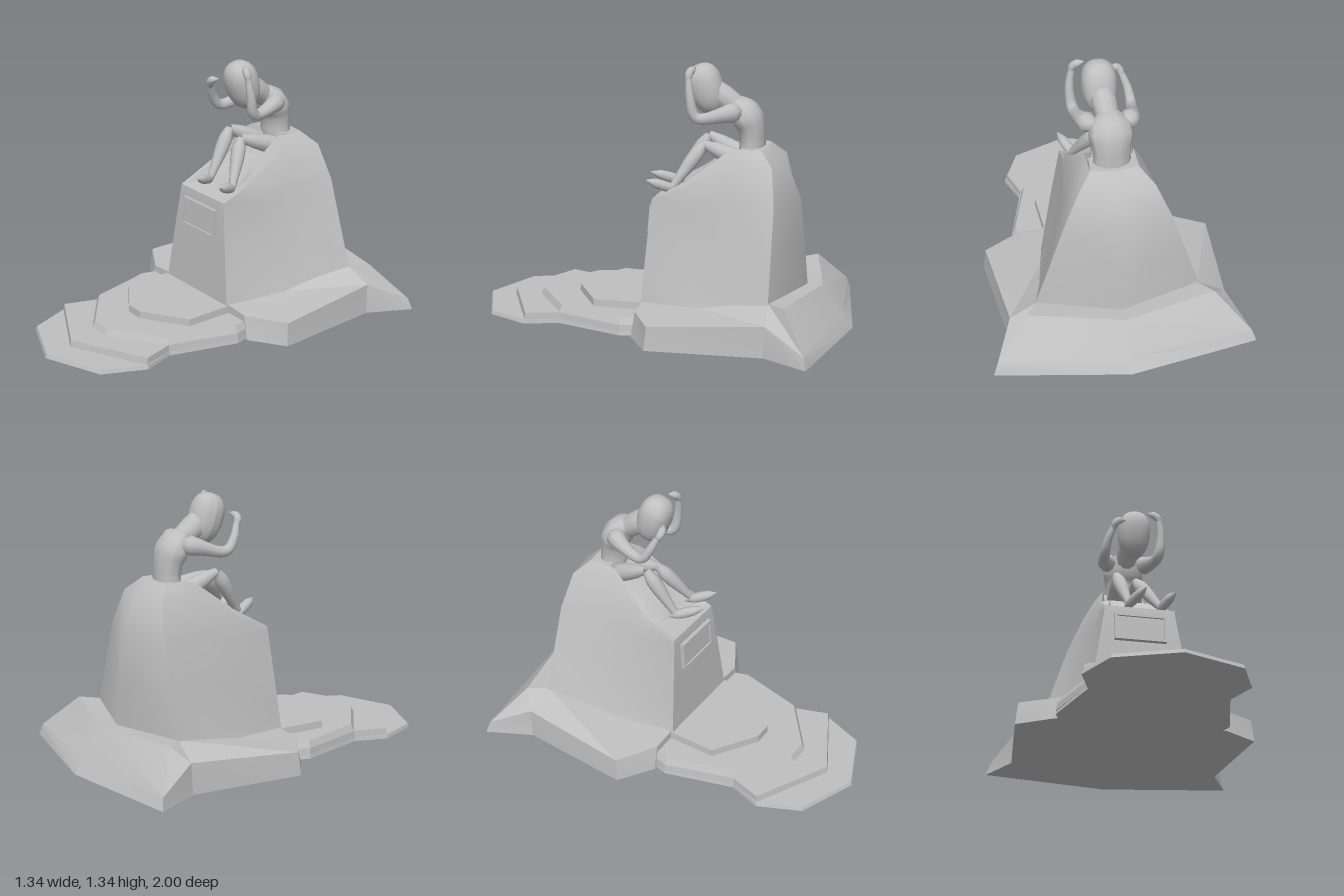
import * as THREE from 'three';
import { toCreasedNormals } from 'three/addons/utils/BufferGeometryUtils.js';

const stone = new THREE.MeshStandardMaterial({ color: 0xbfbfbf });
stone.name = 'stone grey';

function addMesh(parent, name, geometry) {
  const m = new THREE.Mesh(geometry, stone);
  m.name = name;
  parent.add(m);
  return m;
}

// Skins half-rings [x, y, z] running from the back centre round the +x side; mirrors each to a full ring
function loft(halfRings, crease) {
  const rings = halfRings.map(h => {
    const mirrored = h.slice(1).reverse().map(([x, y, z]) => [-x, y, z]);
    return [...h, ...mirrored].map(p => new THREE.Vector3(...p));
  });
  const pos = [];
  const tri = (a, b, c) => {
    if (new THREE.Triangle(a, b, c).getArea() < 1e-8) return;
    for (const v of [a, b, c]) pos.push(v.x, v.y, v.z);
  };
  for (let r = 0; r + 1 < rings.length; r++) {
    const n = rings[r].length;
    for (let i = 0; i < n; i++) {
      const j = (i + 1) % n;
      const a = rings[r][i], b = rings[r][j], c = rings[r + 1][j], d = rings[r + 1][i];
      tri(a, d, c);
      tri(a, c, b);
    }
  }
  const g = new THREE.BufferGeometry();
  g.setAttribute('position', new THREE.Float32BufferAttribute(pos, 3));
  return toCreasedNormals(g, crease);
}

// Flat slab with a slightly tapered side, from a half outline [x, z]
function slab(outline, y0, y1, taper) {
  const zc = 0.25;
  const ring = (y, s) => outline.map(([x, z]) => [x * s, y, zc + (z - zc) * s]);
  return loft([ring(y0, 0), ring(y0, 1), ring(y1, taper), ring(y1, 0)], 0.3);
}

// Tapered rounded limb through points, with radii spread evenly along it
function limb(points, radii, segments = 14) {
  const curve = new THREE.CatmullRomCurve3(points.map(p => new THREE.Vector3(...p)), false, 'centripetal');
  const sides = 10;
  const g = new THREE.TubeGeometry(curve, segments, 1, sides);
  const p = g.attributes.position, v = new THREE.Vector3();
  for (let i = 0; i < p.count; i++) {
    const u = Math.floor(i / (sides + 1)) / segments;
    const t = u * (radii.length - 1), k = Math.min(Math.floor(t), radii.length - 2);
    const r = THREE.MathUtils.lerp(radii[k], radii[k + 1], t - k);
    const c = curve.getPointAt(u);
    v.fromBufferAttribute(p, i).sub(c).multiplyScalar(r).add(c);
    p.setXYZ(i, v.x, v.y, v.z);
  }
  return toCreasedNormals(g, 1.3);
}

function createBase() {
  const base = new THREE.Group();
  base.name = 'base';
  // Skirt of rough ground round the rock
  const bottom = [[0, 0, -1], [0.672, 0, -0.88], [0.56, 0, -0.65], [0.618, 0, -0.06], [0.44, 0, 0.06]];
  const centre = y => bottom.map(() => [0, y, -0.3]);
  addMesh(base, 'groundSkirt', loft([
    centre(0),
    bottom,
    [[0, 0.07, -0.95], [0.65, 0.06, -0.865], [0.555, 0.16, -0.655], [0.605, 0.12, -0.07], [0.4, 0.12, 0.05]],
    [[0, 0.22, -0.84], [0.48, 0.235, -0.73], [0.41, 0.23, -0.64], [0.33, 0.15, -0.25], [0.25, 0.13, 0.05]],
    centre(0.2),
  ], 0.35));
  // Stepped path at the front
  const steps = [
    [0.02, 0.99, [[0.44, 0.12], [0.345, 0.48], [0.405, 0.65], [0.31, 0.87], [0, 0.995]]],
    [0.055, 0.99, [[0.44, 0.12], [0.34, 0.48], [0.395, 0.65], [0, 0.85]]],
    [0.088, 0.96, [[0.435, 0.12], [0.33, 0.48], [0.06, 0.68]]],
    [0.125, 0.99, [[0.27, 0.05], [0.28, 0.31], [0.05, 0.46]]],
  ];
  let y = 0;
  steps.forEach(([top, taper, outline], i) => {
    const back = [[0, -0.08], [i === 3 ? 0.25 : 0.38, -0.08]];
    addMesh(base, 'step' + (i + 1), slab([...back, ...outline], y, top, taper));
    y = top;
  });
  return base;
}

// Rock columns: back centre, back corner, seat side, wall, front corner
function createRock() {
  return loft([
    [[0, 0.12, -0.77], [0.44, 0.12, -0.64], [0.39, 0.12, -0.42], [0.34, 0.12, -0.22], [0.262, 0.12, 0.06]],
    [[0, 0.22, -0.76], [0.42, 0.23, -0.64], [0.36, 0.2, -0.42], [0.31, 0.2, -0.22], [0.252, 0.2, 0.055]],
    [[0, 0.45, -0.74], [0.345, 0.45, -0.635], [0.29, 0.44, -0.42], [0.25, 0.42, -0.2], [0.22, 0.42, 0.04]],
    [[0, 0.67, -0.715], [0.27, 0.68, -0.63], [0.235, 0.68, -0.42], [0.205, 0.62, -0.19], [0.187, 0.63, 0.025]],
    [[0, 0.85, -0.64], [0.19, 0.86, -0.6], [0.175, 0.86, -0.4], [0.185, 0.74, -0.17], [0.185, 0.66, 0.02]],
    [[0, 0.93, -0.545], [0.12, 0.93, -0.53], [0.125, 0.93, -0.38], [0.165, 0.77, -0.17], [0.165, 0.667, 0]],
    // Hollow of the seat and the ledge under the feet
    [[0, 0.93, -0.42], [0.11, 0.93, -0.42], [0.11, 0.83, -0.38], [0.115, 0.8, -0.21], [0.12, 0.68, -0.1]],
    [[0, 0.93, -0.42], [0, 0.93, -0.42], [0, 0.83, -0.38], [0, 0.8, -0.21], [0, 0.68, -0.1]],
  ], 0.7);
}

function createPlaque() {
  const plaque = new THREE.Group();
  plaque.name = 'plaque';
  addMesh(plaque, 'panel', new THREE.BoxGeometry(0.25, 0.13, 0.025));
  for (const s of [-1, 1]) {
    addMesh(plaque, 'frameSide', new THREE.BoxGeometry(0.012, 0.15, 0.045)).position.x = s * 0.13;
    addMesh(plaque, 'frameRail', new THREE.BoxGeometry(0.27, 0.014, 0.045)).position.y = s * 0.068;
  }
  plaque.position.set(0, 0.535, 0.032);
  plaque.rotation.x = -0.077;
  return plaque;
}

// Blocky egg: full at the crown, tapering toward the nape
function headGeometry() {
  const g = new THREE.SphereGeometry(1, 18, 14);
  const p = g.attributes.position;
  const square = v => Math.sign(v) * Math.abs(v) ** 0.85;
  for (let i = 0; i < p.count; i++) {
    const k = 1 + 0.1 * p.getY(i);
    p.setXYZ(i, square(p.getX(i)) * 0.088 * k, square(p.getY(i)) * 0.132, square(p.getZ(i)) * 0.085 * k);
  }
  g.computeVertexNormals();
  return g;
}

function createFigure() {
  const fig = new THREE.Group();
  fig.name = 'seatedFigure';
  // Hunched torso, broadening to the shoulders
  const torso = addMesh(fig, 'torso', limb(
    [[0, 0.86, -0.455], [0, 0.95, -0.46], [0, 1.03, -0.45], [0, 1.1, -0.415], [0, 1.15, -0.355], [0, 1.16, -0.32]],
    [0.058, 0.066, 0.064, 0.068, 0.078, 0.072, 0.045, 0.004], 20));
  torso.scale.x = 1.45;
  addMesh(fig, 'neck', limb([[0, 1.09, -0.42], [0.005, 1.145, -0.345], [0.015, 1.21, -0.25]],
    [0.05, 0.058, 0.064, 0.06]));
  const head = addMesh(fig, 'head', headGeometry());
  head.position.set(0.018, 1.213, -0.222);
  head.rotation.x = 0.3;

  const armR = [0.01, 0.052, 0.04, 0.031, 0.029, 0.025, 0.021, 0.016];
  addMesh(fig, 'leftArm', limb([[0.05, 1.115, -0.42], [0.11, 1.11, -0.365], [0.148, 1.085, -0.2],
    [0.157, 1.19, -0.17], [0.145, 1.28, -0.16]], armR, 20));
  addMesh(fig, 'rightArm', limb([[-0.05, 1.115, -0.42], [-0.11, 1.105, -0.365], [-0.147, 1.07, -0.2],
    [-0.14, 1.13, -0.15], [-0.115, 1.2, -0.12]], armR, 20));
  const handR = [0.012, 0.02, 0.02, 0.003];
  addMesh(fig, 'leftHand', limb([[0.15, 1.265, -0.16], [0.135, 1.305, -0.16], [0.085, 1.335, -0.18]], handR));
  addMesh(fig, 'rightHand', limb([[-0.12, 1.18, -0.125], [-0.1, 1.225, -0.105], [-0.05, 1.245, -0.12]], handR));

  const legs = {
    left: { hip: [0.05, 0.86, -0.4], knee: [0.022, 0.925, -0.21], ankle: [0.135, 0.71, -0.07], toe: [0.185, 0.755, 0.05] },
    right: { hip: [-0.05, 0.86, -0.4], knee: [-0.08, 0.955, -0.215], ankle: [-0.04, 0.715, -0.06], toe: [0.025, 0.76, 0.07] },
  };
  for (const [side, { hip, knee, ankle, toe }] of Object.entries(legs)) {
    addMesh(fig, side + 'Thigh', limb([hip, knee], [0.05, 0.046, 0.037, 0.02]));
    addMesh(fig, side + 'Shin', limb([knee, ankle], [0.02, 0.037, 0.037, 0.031, 0.024, 0.018]));
    const heel = [ankle[0] - 0.02, ankle[1] - 0.015, ankle[2] - 0.03];
    addMesh(fig, side + 'Foot', limb([heel, toe], [0.006, 0.025, 0.027, 0.024, 0.004]));
  }
  return fig;
}

export function createModel() {
  const model = new THREE.Group();
  model.name = 'monument';
  model.add(createBase());
  addMesh(model, 'rock', createRock());
  model.add(createPlaque(), createFigure());
  return model;
}
